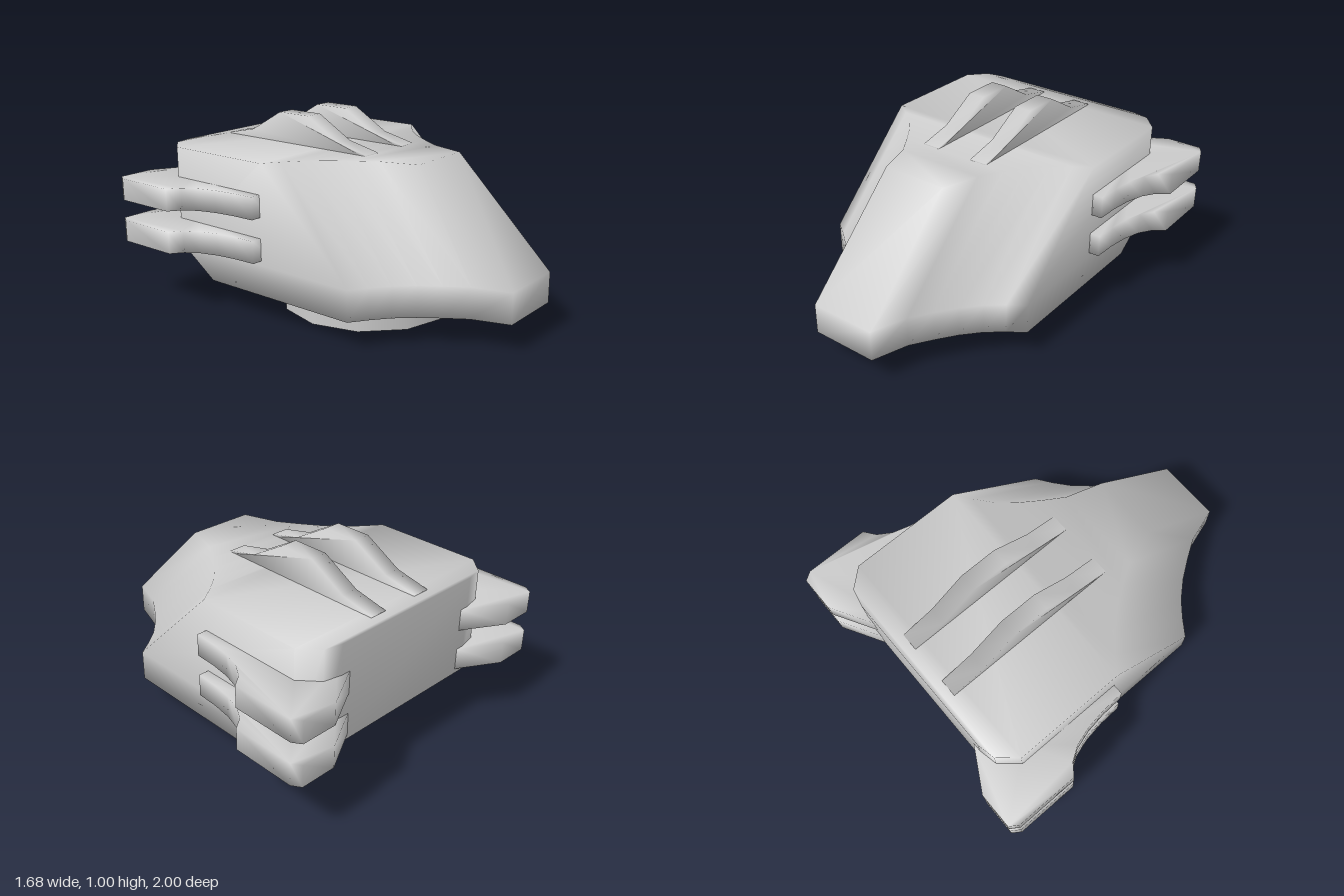
import * as THREE from 'three';
import { mergeVertices } from 'three/addons/utils/BufferGeometryUtils.js';

const material = new THREE.MeshStandardMaterial({ color: 0xcccccc });

// Weld all corners so the shading flows softly over the edges
function smooth(geometry) {
  geometry.deleteAttribute('uv');
  geometry.deleteAttribute('normal');
  const welded = mergeVertices(geometry, 1e-4);
  welded.computeVertexNormals();
  return welded;
}

function prism(points, depth) {
  const shape = new THREE.Shape(points.map(([x, y]) => new THREE.Vector2(x, y)));
  return new THREE.ExtrudeGeometry(shape, { depth, bevelEnabled: false });
}

function add(parent, name, geometry, mat = material) {
  const mesh = new THREE.Mesh(geometry, mat);
  mesh.name = name;
  parent.add(mesh);
  return mesh;
}

// Hull: one plan outline stacked at three heights, nose raked back, tail tucked under
function hullGeometry() {
  const half = [
    [0.18, 1], [0.24, 0.81], [0.31, 0.7], [0.38, 0.6], [0.46, 0.51], [0.545, 0.44],
    [0.63, 0.38], [0.63, -0.76], [0.545, -0.855], [0.45, -0.875],
  ];
  const n = half.length;
  const count = 2 * n;
  const layers = [
    { y: 0.15, front: 0, back: 0.23 },
    { y: 0.31, front: 0, back: 0 },
    { y: 0.835, front: -0.54, back: 0 },
  ];
  const positions = [];
  const index = [];
  for (const { y, front, back } of layers) {
    const side = half.map(([x, z]) => [x, z + (z > 0 ? front : back)]);
    side.forEach(([x, z]) => positions.push(x, y, z));
    side.reverse().forEach(([x, z]) => positions.push(-x, y, z));
  }
  // walls
  for (let l = 0; l < layers.length - 1; l++) {
    for (let i = 0; i < count; i++) {
      const a = l * count + i;
      const b = l * count + (i + 1) % count;
      index.push(a, b, b + count, a, b + count, a + count);
    }
  }
  // roof and floor as strips from side to side
  const top = (layers.length - 1) * count;
  for (let i = 0; i < n - 1; i++) {
    const [a, b, c, d] = [i, i + 1, count - 2 - i, count - 1 - i];
    index.push(top + a, top + b, top + c, top + a, top + c, top + d);
    index.push(a, c, b, a, d, c);
  }
  const geometry = new THREE.BufferGeometry();
  geometry.setAttribute('position', new THREE.Float32BufferAttribute(positions, 3));
  geometry.setIndex(index);
  geometry.computeVertexNormals();
  return geometry;
}

export function createModel() {
  const model = new THREE.Group();
  model.name = 'turret';

  add(model, 'hull', hullGeometry());

  // Open mounting ring under the hull
  const ringMaterial = material.clone();
  ringMaterial.side = THREE.DoubleSide;
  const ring = add(model, 'baseRing',
    new THREE.CylinderGeometry(0.48, 0.48, 0.15, 12, 1, true), ringMaterial);
  ring.position.set(0, 0.075, 0.03);

  // Two fins along the roof, outline given as z, y
  const finOutline = [
    [0.15, 0.825], [0.15, 0.84], [-0.03, 0.88], [-0.23, 0.995],
    [-0.43, 0.995], [-0.63, 0.88], [-0.81, 0.84], [-0.81, 0.825],
  ];
  for (const s of [1, -1]) {
    const geometry = prism(finOutline, 0.094);
    geometry.translate(0, 0, -0.047);
    geometry.rotateY(-Math.PI / 2);
    const fin = add(model, s > 0 ? 'leftRoofFin' : 'rightRoofFin', smooth(geometry));
    fin.position.x = s * 0.15;
  }

  // Two stacked curved brackets on each rear corner, outline given as x, z
  const bracketOutline = [
    [0.56, -0.17], [0.685, -0.17], [0.69, -0.29], [0.705, -0.4], [0.735, -0.5], [0.78, -0.57],
    [0.84, -0.615], [0.84, -0.955], [0.81, -1], [0.62, -1], [0.4, -0.875], [0.4, -0.8], [0.56, -0.7],
  ];
  for (const s of [1, -1]) {
    for (const [level, y] of [['Lower', 0.335], ['Upper', 0.56]]) {
      const geometry = prism(bracketOutline.map(([x, z]) => [s * x, -z]), 0.116);
      geometry.rotateX(-Math.PI / 2);
      const bracket = add(model, `${s > 0 ? 'left' : 'right'}${level}Bracket`, smooth(geometry));
      bracket.position.y = y;
    }
  }
  return model;
}
